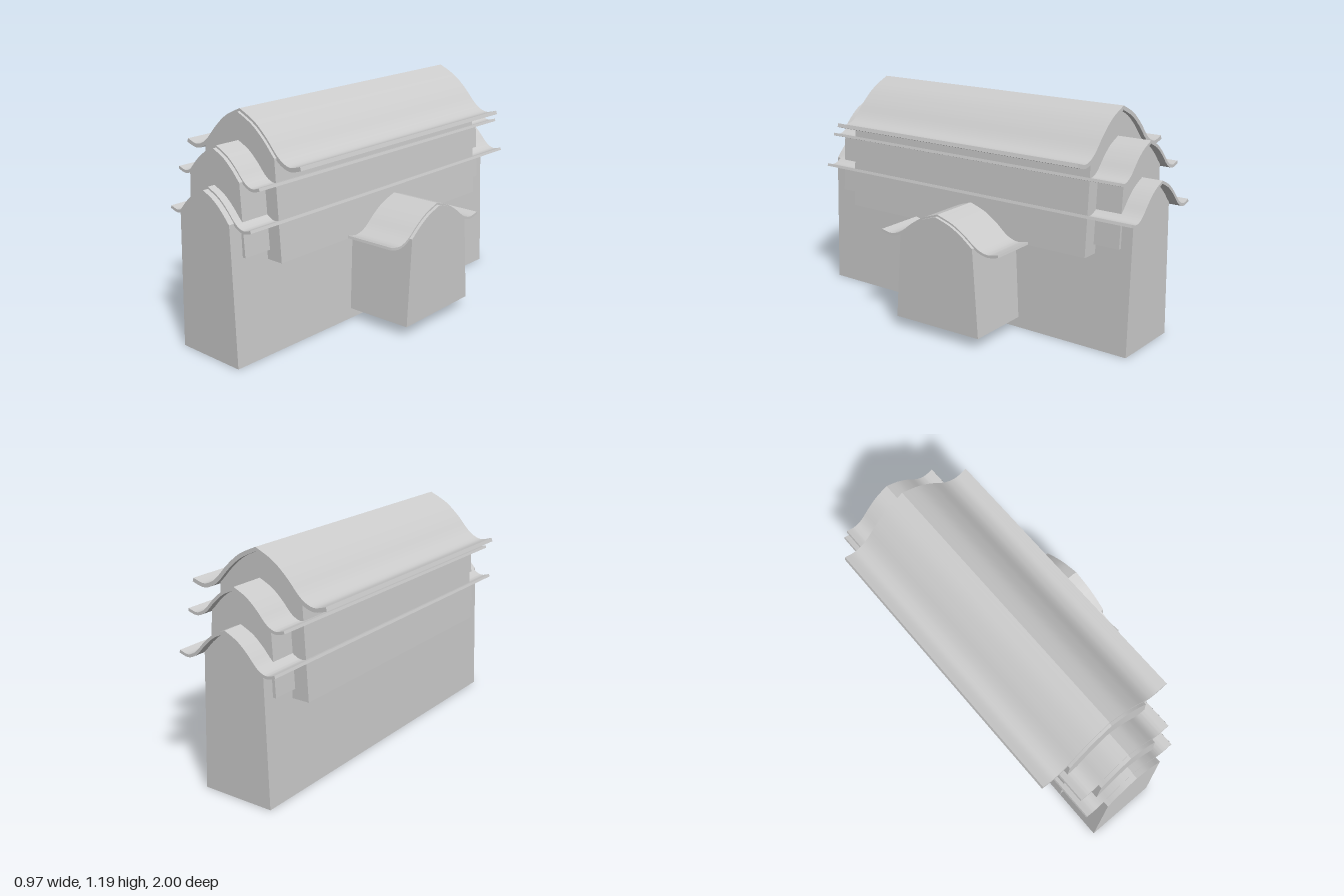
import * as THREE from 'three';
import { toCreasedNormals } from 'three/addons/utils/BufferGeometryUtils.js';

const material = new THREE.MeshStandardMaterial({ color: 0xcccccc, side: THREE.DoubleSide });

// Half of the curved roof line: distance from the ridge, drop below the ridge
const slope = new THREE.SplineCurve([
  [0, 0], [0.0975, -0.047], [0.176, -0.112], [0.242, -0.183],
  [0.286, -0.215], [0.333, -0.227], [0.393, -0.211],
].map(([x, y]) => new THREE.Vector2(x, y)));

// Full roof line from left eave to right eave, scaled about the ridge
function roofLine(sx, sy, ridge, lift, reach = Infinity) {
  const half = slope.getPoints(30).filter((p) => p.x <= reach);
  const mirrored = half.slice(1).reverse().map((p) => new THREE.Vector2(-p.x, p.y));
  return [...mirrored, ...half].map((p) => new THREE.Vector2(p.x * sx, p.y * sy + ridge + lift));
}

// Extrude a closed outline between two z positions
function extrude(name, outline, back, front) {
  const geometry = new THREE.ExtrudeGeometry(new THREE.Shape(outline), {
    depth: front - back, bevelEnabled: false,
  });
  geometry.translate(0, 0, back);
  const mesh = new THREE.Mesh(toCreasedNormals(geometry, 0.35), material);
  mesh.name = name;
  return mesh;
}

// Thin roof sheet with upturned eaves
function roof(name, sx, sy, ridge, back, front) {
  const top = roofLine(sx, sy, ridge, 0);
  const thick = 0.02 * Math.min(sx, sy);
  const under = top.map((p, i) => {
    const a = top[Math.max(i - 1, 0)], b = top[Math.min(i + 1, top.length - 1)];
    const t = b.clone().sub(a).normalize();
    return new THREE.Vector2(p.x + t.y * thick, p.y - t.x * thick);
  });
  return extrude(name, [...top, ...under.reverse()], back, front);
}

// Tapered walls whose top follows the underside of the roof
function walls(name, sx, sy, ridge, baseHalf, base, back, front) {
  const arch = roofLine(sx, sy, ridge, -0.014 * sy, 0.243);
  return extrude(name, [
    new THREE.Vector2(-baseHalf, base), ...arch, new THREE.Vector2(baseHalf, base),
  ], back, front);
}

export function createModel() {
  const model = new THREE.Group();
  model.name = 'hall';

  // Three stacked tiers along the long axis
  const tiers = [
    { name: 'lower', s: 0.715, ridge: 0.855, half: 0.198, base: 0, wall: [-0.95, 1.0], roof: [-1.0, 0.97] },
    { name: 'middle', s: 0.715, ridge: 1.04, half: 0.197, base: 0.54, wall: [-0.89, 0.93], roof: [-0.93, 0.91] },
    { name: 'upper', s: 1, ridge: 1.19, half: 0.275, base: 0.49, wall: [-0.75, 0.775], roof: [-0.775, 0.76] },
  ];
  const hall = new THREE.Group();
  hall.name = 'tiers';
  for (const t of tiers) {
    hall.add(walls(t.name + 'Walls', t.s, t.s, t.ridge, t.half, t.base, ...t.wall));
    hall.add(roof(t.name + 'Roof', t.s, t.s, t.ridge, ...t.roof));
  }
  hall.position.x = -0.086;
  model.add(hall);

  // Side porch, turned very slightly off square
  const porch = new THREE.Group();
  porch.name = 'sidePorch';
  porch.add(walls('porchWalls', 0.93, 0.66, 0.645, 0.26, 0.055, -0.4, 0));
  porch.add(roof('porchRoof', 0.93, 0.66, 0.645, -0.39, -0.017));
  porch.position.set(0.473, 0, -0.06);
  porch.rotation.y = Math.PI / 2 + 0.028;
  model.add(porch);

  return model;
}
